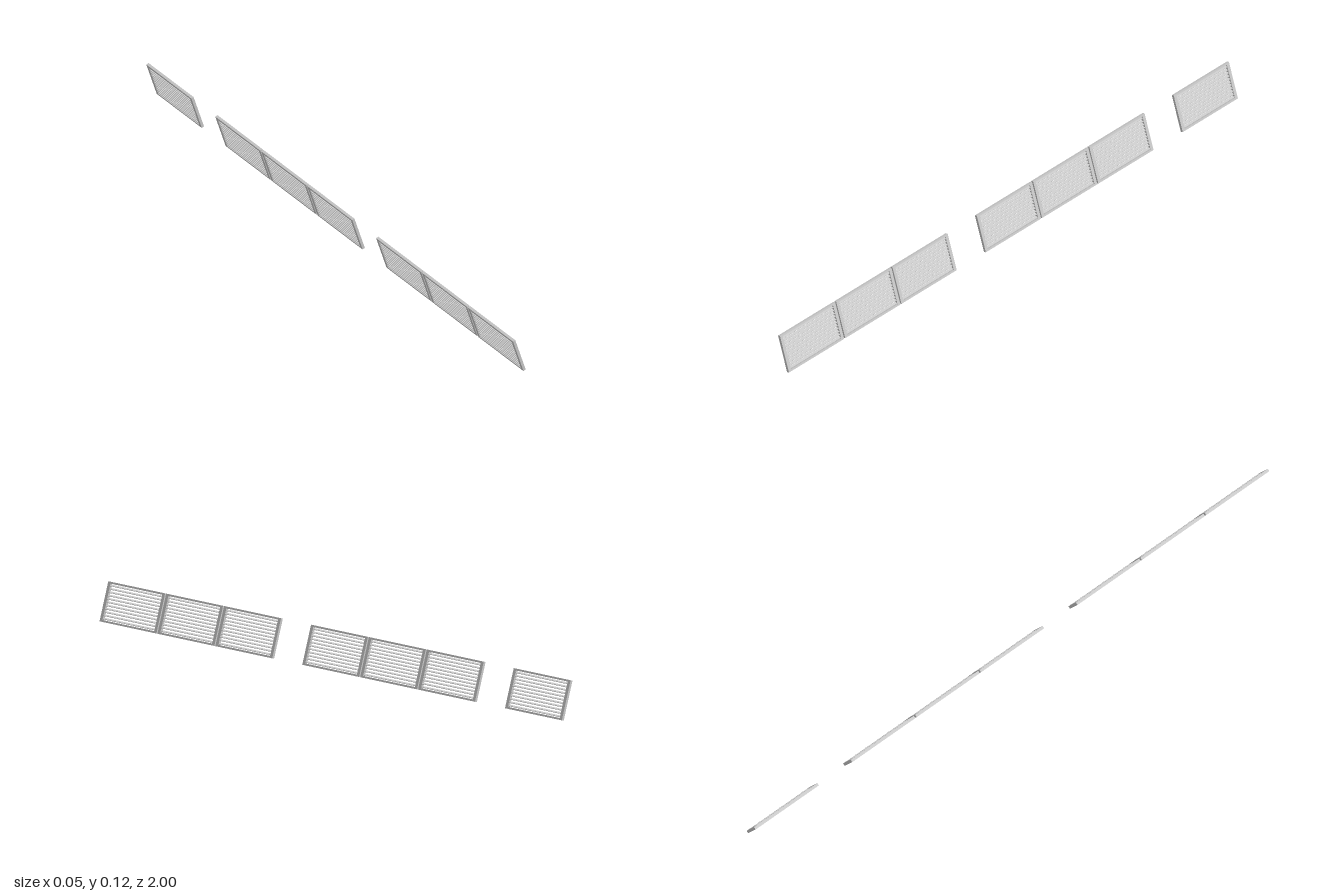
import * as THREE from 'three';

const LENGTH = 0.246;   // panel length along z
const HEIGHT = 0.1285;  // panel height along its slope
const DEPTH = 0.009;
const PITCH = 0.2506;   // spacing of neighbouring panels
const STILE = 0.011;
const RAIL = 0.006;
const SLATS = 11;
const TILT = THREE.MathUtils.degToRad(18);
const SLAT_TURN = THREE.MathUtils.degToRad(-30);

const material = new THREE.MeshStandardMaterial({ color: 0xcccccc, flatShading: true });

function addBox(parent, name, size, position, turn = 0) {
  const mesh = new THREE.Mesh(new THREE.BoxGeometry(...size), material);
  mesh.name = name;
  mesh.position.set(...position);
  mesh.rotation.z = turn;
  parent.add(mesh);
}

function createPanel() {
  const panel = new THREE.Group();
  panel.name = 'louvrePanel';

  // Frame: two rails and two stiles
  for (const s of [-1, 1]) {
    addBox(panel, s > 0 ? 'topRail' : 'bottomRail',
      [DEPTH, RAIL, LENGTH], [0, s * (HEIGHT - RAIL) / 2, 0]);
    addBox(panel, s > 0 ? 'frontStile' : 'backStile',
      [DEPTH, HEIGHT - 2 * RAIL, STILE], [0, 0, s * (LENGTH - STILE) / 2]);
  }

  // Angled slats between the rails
  const opening = HEIGHT - 2 * RAIL;
  for (let i = 0; i < SLATS; i++) {
    const y = -opening / 2 + opening * (i + 0.5) / SLATS;
    addBox(panel, 'slat', [0.009, 0.0015, LENGTH - 2 * STILE], [0, y, 0], SLAT_TURN);
  }
  return panel;
}

export function createModel() {
  const model = new THREE.Group();
  model.name = 'louvrePanelRow';

  // Two runs of three panels and a single one, half a pitch apart
  for (const slot of [0, 1, 2, 3.5, 4.5, 5.5, 7]) {
    const panel = createPanel();
    panel.rotation.z = TILT;
    panel.position.set(0, 0.0625, 1 - LENGTH / 2 - slot * PITCH);
    model.add(panel);
  }
  return model;
}
